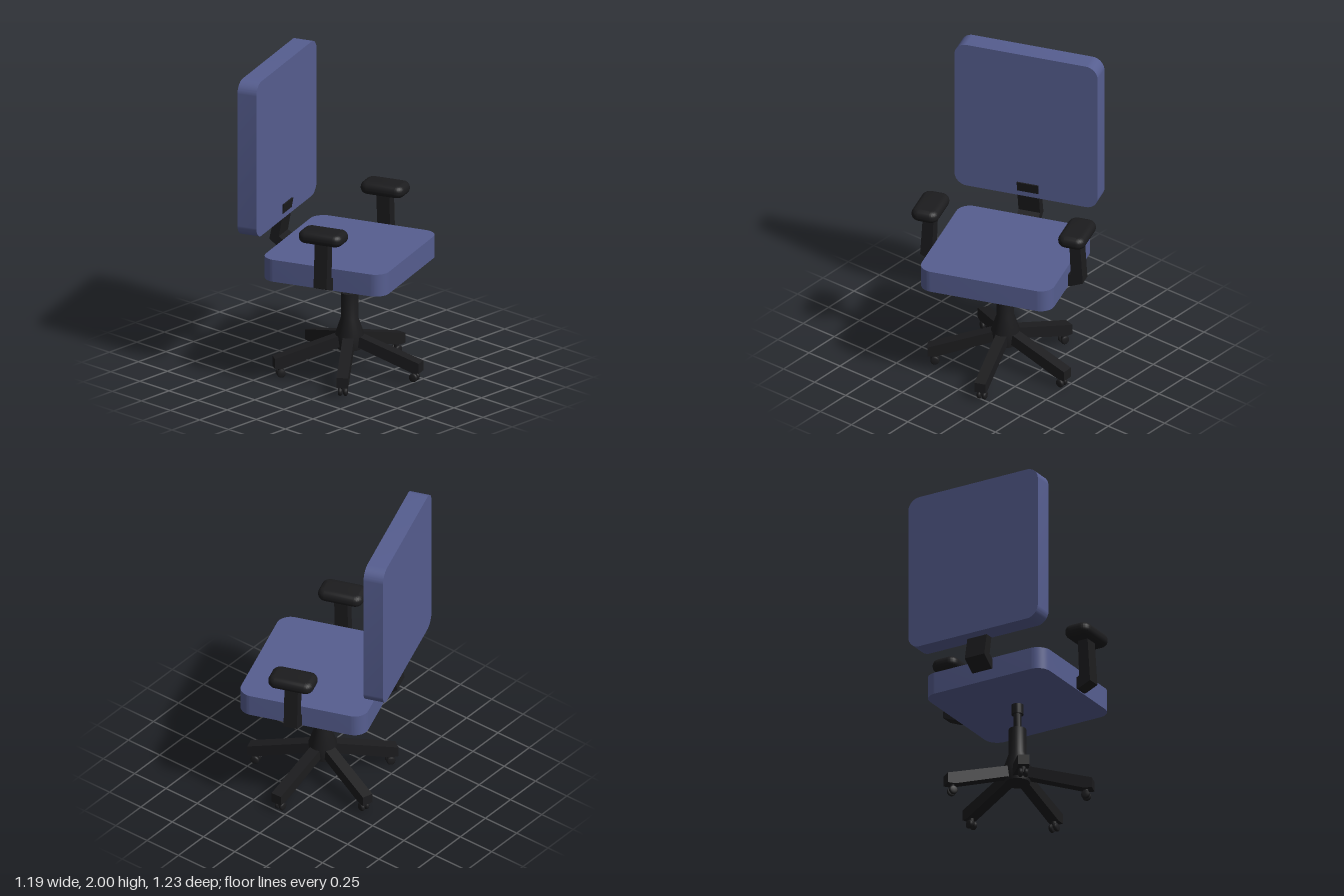
import * as THREE from 'three';
import { toCreasedNormals } from 'three/addons/utils/BufferGeometryUtils.js';

const fabric = new THREE.MeshStandardMaterial({ color: 0x565e90 });
const black = new THREE.MeshStandardMaterial({ color: 0x1c1c1e });

function add(parent, name, geometry, material, x = 0, y = 0, z = 0) {
  const mesh = new THREE.Mesh(geometry, material);
  mesh.name = name;
  mesh.position.set(x, y, z);
  parent.add(mesh);
  return mesh;
}

// Rounded rectangle in XY, extruded along z and centred
function roundedSlab(w, h, r, depth, bevel = 0) {
  const a = w / 2 - bevel, b = h / 2 - bevel, c = r - bevel;
  const s = new THREE.Shape();
  s.absarc(a - c, b - c, c, 0, Math.PI / 2);
  s.absarc(-a + c, b - c, c, Math.PI / 2, Math.PI);
  s.absarc(-a + c, -b + c, c, Math.PI, Math.PI * 1.5);
  s.absarc(a - c, -b + c, c, Math.PI * 1.5, Math.PI * 2);
  s.closePath();
  const core = depth - 2 * bevel;
  const g = new THREE.ExtrudeGeometry(s, {
    depth: core, curveSegments: 10, bevelEnabled: bevel > 0,
    bevelSize: bevel, bevelThickness: bevel, bevelSegments: 6,
  });
  g.translate(0, 0, -core / 2);
  return toCreasedNormals(g, 0.6);
}

// Side profile [x, y] extruded to a bar of the given width, centred on z
function bar(points, width) {
  const s = new THREE.Shape(points.map(([x, y]) => new THREE.Vector2(x, y)));
  const g = new THREE.ExtrudeGeometry(s, { depth: width, bevelEnabled: false });
  return g.translate(0, 0, -width / 2);
}

function makeLeg() {
  const leg = new THREE.Group();
  leg.name = 'baseLeg';
  add(leg, 'legBeam', bar([[0, 0.185], [0.08, 0.178], [0.435, 0.066], [0.485, 0.066],
    [0.485, 0.132], [0.08, 0.252], [0, 0.255]], 0.072), black);
  // Twin-wheel caster
  add(leg, 'casterStem', new THREE.CylinderGeometry(0.016, 0.016, 0.05, 12), black, 0.44, 0.052, 0);
  for (const side of [-1, 1]) {
    const wheel = new THREE.LatheGeometry([
      [0, -0.013], [0.02, -0.013], [0.027, -0.007], [0.028, 0], [0.027, 0.007], [0.02, 0.013], [0, 0.013],
    ].map(([r, y]) => new THREE.Vector2(r, y)), 18).rotateX(Math.PI / 2);
    add(leg, 'casterWheel', wheel, black, 0.44, 0.028, side * 0.017);
  }
  return leg;
}

function makeArm(side) {
  const arm = new THREE.Group();
  arm.name = side > 0 ? 'armrestA' : 'armrestB';
  // Elbowed post, fixed to the edge of the seat
  const post = bar([[0.42, 0.70], [0.455, 0.70], [0.537, 0.735], [0.517, 1.05], [0.447, 1.05],
    [0.457, 0.785], [0.42, 0.77]], 0.088);
  add(arm, 'armPost', post.rotateY(side > 0 ? -Math.PI / 2 : Math.PI / 2), black, 0.032);
  const pad = roundedSlab(0.295, 0.178, 0.055, 0.08, 0.037).rotateX(Math.PI / 2);
  add(arm, 'armPad', pad, black, 0.032, 1.065, side * 0.484);
  return arm;
}

export function createModel() {
  const model = new THREE.Group();
  model.name = 'officeChair';
  // The whole chair faces its own +x, turned a little
  const chair = new THREE.Group();
  chair.name = 'chair';
  chair.position.set(0.075, 0, -0.03);
  chair.rotation.y = THREE.MathUtils.degToRad(20);
  model.add(chair);

  // Cushions
  add(chair, 'seat', roundedSlab(0.836, 0.876, 0.09, 0.145).rotateX(Math.PI / 2), fabric, 0, 0.767, 0);
  add(chair, 'backrest', roundedSlab(0.945, 1.025, 0.08, 0.128).rotateY(Math.PI / 2), fabric, -0.488, 1.4875, 0.012);

  // Elbowed bracket between the seat and the backrest
  add(chair, 'backBracket', bar([[-0.40, 0.765], [-0.43, 0.765], [-0.515, 0.83], [-0.465, 1.07],
    [-0.413, 1.07], [-0.45, 0.855], [-0.40, 0.82]], 0.142), black);

  // Gas lift column and hub
  const column = new THREE.LatheGeometry([
    [0, 0.16], [0.078, 0.16], [0.09, 0.255], [0.055, 0.36], [0.055, 0.527], [0.026, 0.527],
    [0.026, 0.63], [0.038, 0.63], [0.038, 0.70], [0, 0.70],
  ].map(([r, y]) => new THREE.Vector2(r, y)), 28);
  add(chair, 'column', toCreasedNormals(column, 0.5), black);

  for (let i = 0; i < 5; i++) {
    const leg = makeLeg();
    leg.rotation.y = (i * Math.PI * 2) / 5;
    chair.add(leg);
  }
  for (const side of [-1, 1]) chair.add(makeArm(side));
  return model;
}
